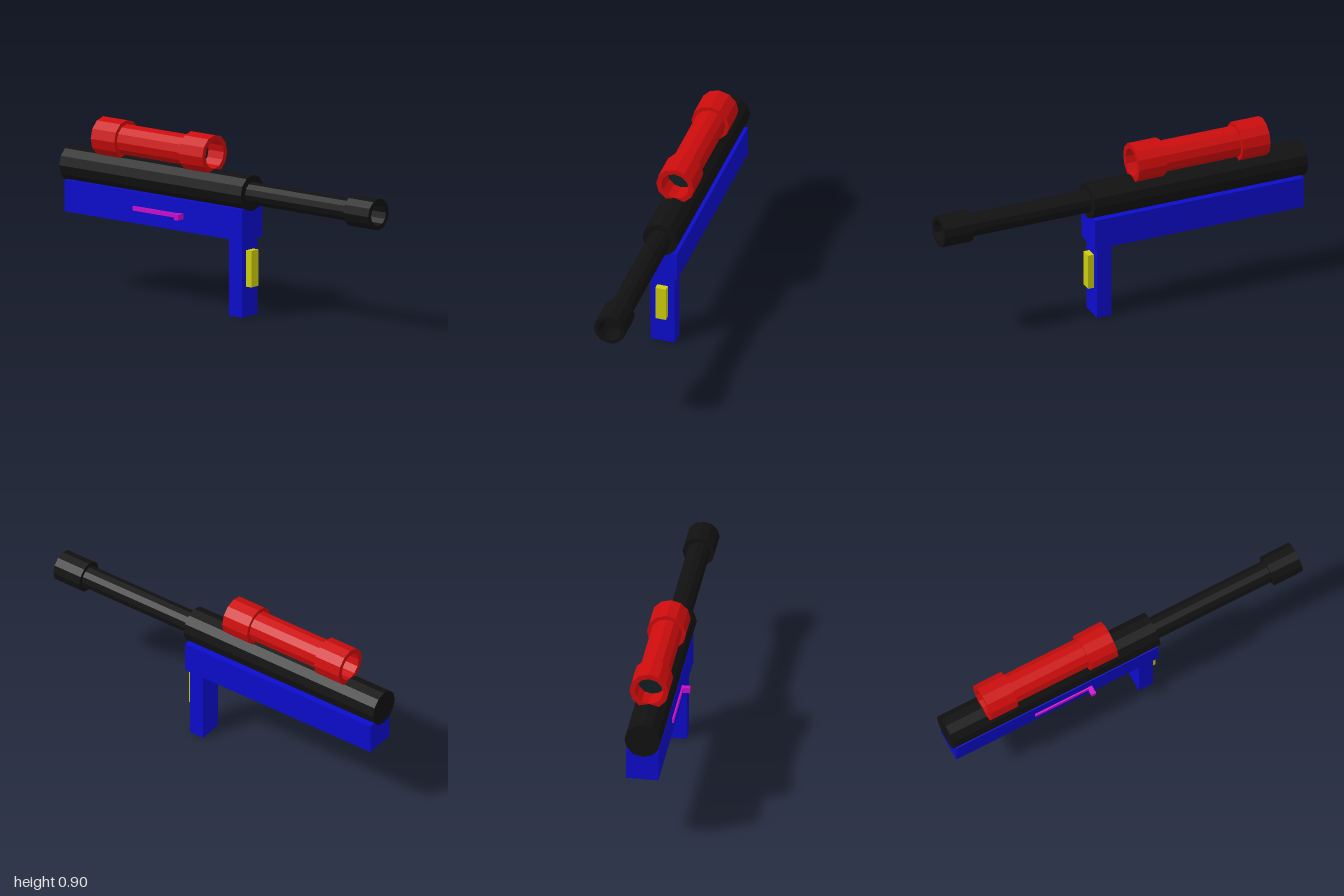
import * as THREE from 'three';

const SIDES = 12;
const mat = (color) => new THREE.MeshStandardMaterial({ color, flatShading: true });

export function createModel() {
  const model = new THREE.Group();
  const black = mat(0x111111), red = mat(0xcc0c0c), blue = mat(0x0c0ccc);
  const yellow = mat(0xcccc0c), magenta = mat(0xcc0ccc), glass = mat(0x102022);

  const add = (name, geometry, material, parent = model) => {
    const mesh = new THREE.Mesh(geometry, material);
    mesh.name = name;
    parent.add(mesh);
    return mesh;
  };

  // Box given by its extents on each axis
  const box = (name, [x0, x1], [y0, y1], [z0, z1], material) =>
    add(name, new THREE.BoxGeometry(x1 - x0, y1 - y0, z1 - z0), material)
      .position.set((x0 + x1) / 2, (y0 + y1) / 2, (z0 + z1) / 2);

  // Solid of revolution along z; profile of [radius, z], rear to front
  const turned = (name, y, profile, material, parent) => {
    const points = profile.map(([r, z]) => new THREE.Vector2(r, z));
    const geometry = new THREE.LatheGeometry(points, SIDES).rotateX(Math.PI / 2);
    add(name, geometry, material, parent).position.set(0.01, y, 0);
  };

  // Receiver tube, barrel and hollow muzzle
  const tubeY = 0.637;
  turned('receiverTube', tubeY, [[0, -1], [0.093, -1], [0.093, 0.18], [0, 0.18]], black);
  turned('barrel', tubeY, [[0, 0.17], [0.059, 0.17], [0.059, 0.85], [0, 0.85]], black);
  turned('muzzle', tubeY,
    [[0.059, 0.838], [0.082, 0.838], [0.082, 1], [0.06, 1], [0.06, 0.9], [0, 0.9]], black);

  // Lower body, grip and trigger
  box('body', [-0.067, 0.098], [0.4, 0.563], [-0.98, 0.175], blue);
  box('grip', [-0.046, 0.081], [0, 0.4], [0.075, 0.157], blue);
  box('trigger', [-0.011, 0.045], [0.155, 0.343], [0.157, 0.19], yellow);

  // Side slide rail with its handle
  box('slideRail', [-0.076, -0.06], [0.466, 0.489], [-0.53, -0.205], magenta);
  box('slideHandle', [-0.112, -0.06], [0.463, 0.492], [-0.23, -0.205], magenta);

  // Scope: one hollow tube with wide ends and a recessed lens at each end
  const scope = new THREE.Group();
  scope.name = 'scope';
  model.add(scope);
  const scopeY = 0.803, bore = 0.073;
  turned('scopeTube', scopeY, [
    [bore, -0.69], [bore, -0.79], [0.1, -0.79], [0.1, -0.637], [0.08, -0.637],
    [0.08, -0.22], [0.1, -0.22], [0.1, -0.065], [bore, -0.065], [bore, -0.165],
  ], red, scope);
  turned('lenses', scopeY, [[0, -0.69], [bore, -0.69], [bore, -0.165], [0, -0.165]], glass, scope);

  return model;
}
